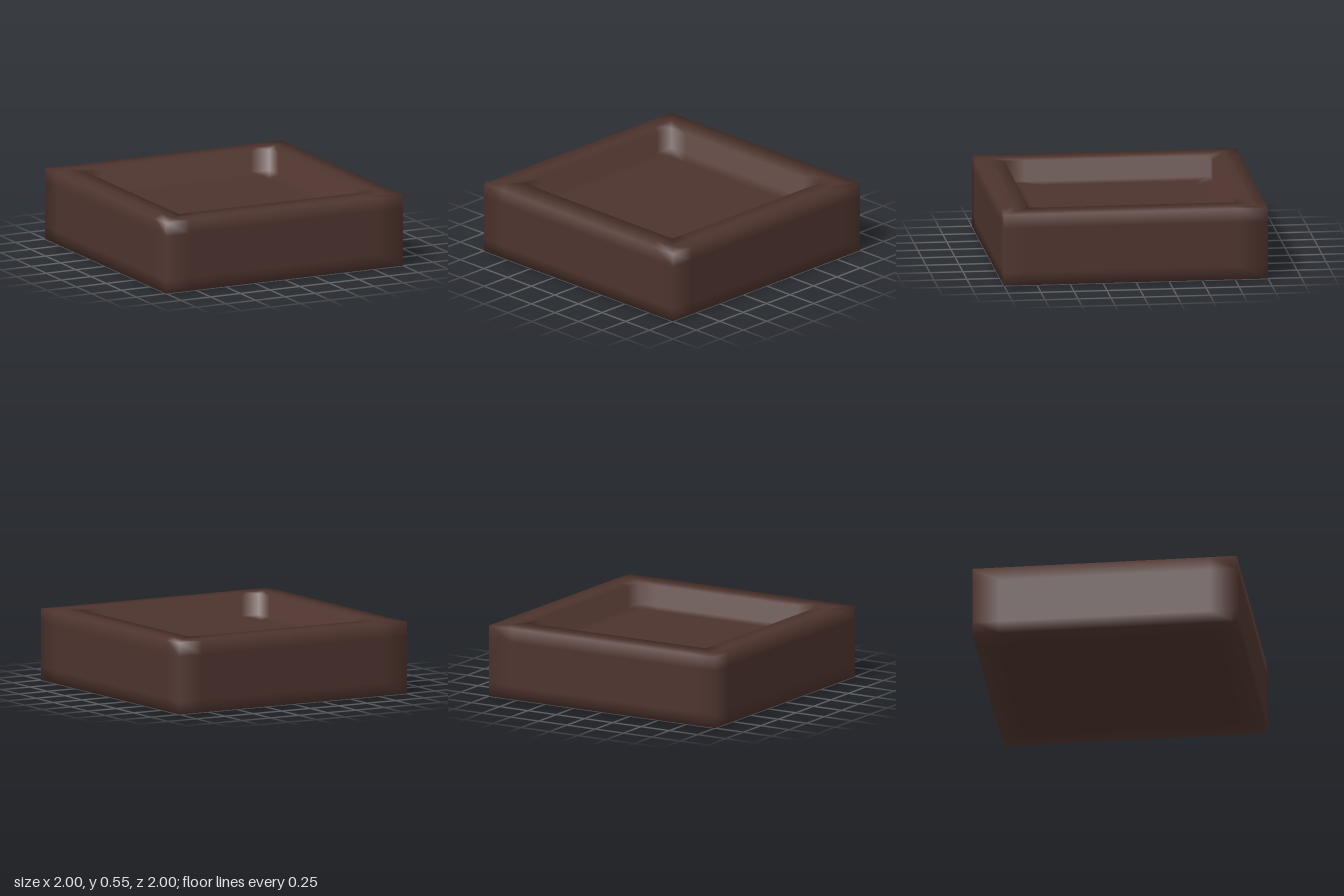
import * as THREE from 'three';

const HEIGHT = 0.545;
const FLOOR = 0.385;

// Square rings from the recess floor over the rim to the underside:
// [half width, height, outward normal, upward normal]
const PROFILE = [
  [0.65, FLOOR, 0, 1],
  [0.78, FLOOR, -1, 1],
  [0.78, HEIGHT, -1, 1],
  [0.89, HEIGHT, 0, 1],
  [1, HEIGHT, 1, 1],
  [1, 0.44, 1, 0],
  [1, 0.1, 1, 0],
  [1, 0, 1, -1],
  [0.8, 0, 0, -1],
];
const SIDE_STOPS = [-1, -0.8, 0.8]; // the first is the corner shared with the previous side
const RING = 4 * SIDE_STOPS.length;

// Quarter turns about y, exact
function turn(v, quarters) {
  for (let k = 0; k < quarters; k++) v.set(v.z, v.y, -v.x);
  return v;
}

function trayGeometry() {
  const positions = [], normals = [], index = [];
  const addPoint = (p, n) => {
    positions.push(...p.toArray());
    normals.push(...n.normalize().toArray());
  };

  // Rings, counter-clockwise seen from above, with normals blended over the edges
  for (const [half, y, out, up] of PROFILE) {
    for (let side = 0; side < 4; side++) {
      for (const t of SIDE_STOPS) {
        const n = new THREE.Vector3(out, up, t === -1 ? out : 0);
        addPoint(turn(new THREE.Vector3(half, y, -t * half), side), turn(n, side));
      }
    }
  }

  // Centres of the recess floor and the underside
  const floorCentre = PROFILE.length * RING;
  const baseCentre = floorCentre + 1;
  addPoint(new THREE.Vector3(0, FLOOR, 0), new THREE.Vector3(0, 1, 0));
  addPoint(new THREE.Vector3(0, 0, 0), new THREE.Vector3(0, -1, 0));

  const lastRing = (PROFILE.length - 1) * RING;
  for (let i = 0; i < RING; i++) {
    const j = (i + 1) % RING;
    for (let a = 0; a < lastRing; a += RING) {
      const b = a + RING;
      index.push(a + i, b + i, b + j, a + i, b + j, a + j);
    }
    index.push(floorCentre, i, j);
    index.push(baseCentre, lastRing + j, lastRing + i);
  }

  const geometry = new THREE.BufferGeometry();
  geometry.setAttribute('position', new THREE.Float32BufferAttribute(positions, 3));
  geometry.setAttribute('normal', new THREE.Float32BufferAttribute(normals, 3));
  geometry.setIndex(index);
  return geometry;
}

export function createModel() {
  const model = new THREE.Group();
  model.name = 'squareTray';
  const tray = new THREE.Mesh(
    trayGeometry(),
    new THREE.MeshStandardMaterial({ color: 0x4e342e })
  );
  tray.name = 'tray';
  model.add(tray);
  return model;
}
